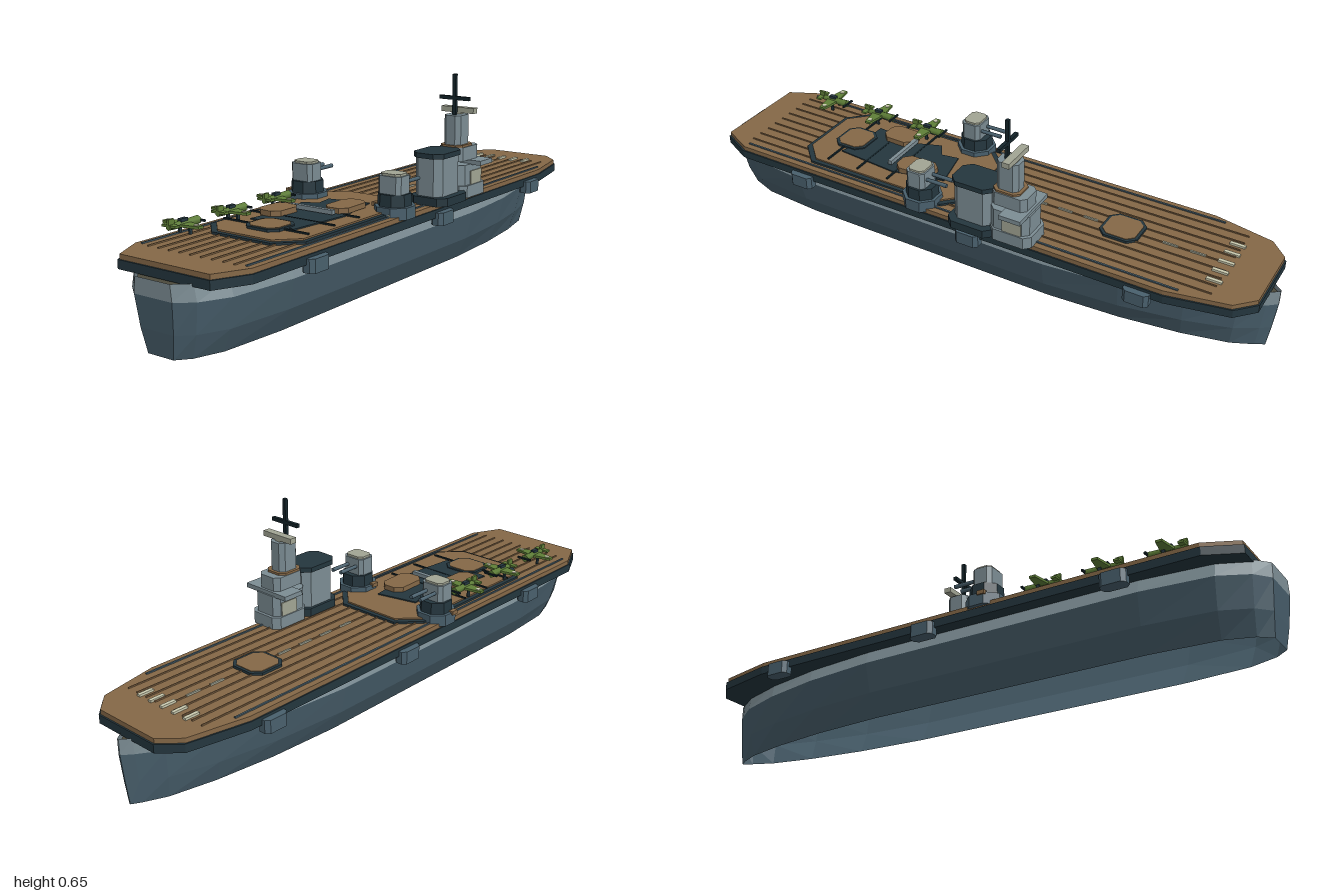
import * as THREE from 'three';

const CX = -0.017; // centreline of the ship
const colour = (name, hex, extra = {}) => Object.assign(new THREE.MeshStandardMaterial({ color: hex, ...extra }), { name });

export function createModel() {
  const ship = new THREE.Group();
  ship.name = 'carrier';
  const M = {
    hull: colour('slate hull', 0x49606d, { side: THREE.DoubleSide }),
    grey: colour('light grey', 0x7c8d94, { side: THREE.DoubleSide }),
    dark: colour('dark teal', 0x24363e),
    black: colour('mast black', 0x14242a),
    wood: colour('deck brown', 0x856847),
    cream: colour('pale stone', 0xa2a594),
    green: colour('aircraft green', 0x5f7f38),
    pale: colour('marking cream', 0xcbcbb0),
    olive: colour('hold olive', 0x4c4a3c),
  };

  const add = (name, geo, mat, parent = ship) => {
    const m = new THREE.Mesh(geo, mat);
    m.name = name;
    parent.add(m);
    return m;
  };
  // box given by its limits
  const box = (name, mat, x0, x1, y0, y1, z0, z1, parent = ship) => {
    const m = add(name, new THREE.BoxGeometry(x1 - x0, y1 - y0, z1 - z0), mat, parent);
    m.position.set((x0 + x1) / 2, (y0 + y1) / 2, (z0 + z1) / 2);
  };
  // horizontal plate from a plan outline of [x, z], with an optional hole
  const slab = (name, mat, pts, y0, y1, hole, parent = ship) => {
    const v = (p) => p.map(([x, z]) => new THREE.Vector2(x, -z));
    const shape = new THREE.Shape(v(pts));
    if (hole) shape.holes.push(new THREE.Path(v(hole)));
    const g = new THREE.ExtrudeGeometry(shape, { depth: y1 - y0, bevelEnabled: false });
    g.rotateX(-Math.PI / 2);
    g.translate(0, y0, 0);
    return add(name, g, mat, parent);
  };
  // rectangle with cut corners
  const oct = (x0, x1, z0, z1, c) => [
    [x0 + c, z0], [x1 - c, z0], [x1, z0 + c], [x1, z1 - c],
    [x1 - c, z1], [x0 + c, z1], [x0, z1 - c], [x0, z0 + c]];

  // ---- hull: rings of stations lofted between levels, open at the bottom
  const stations = [[1, 0.07], [0.96, 0.12], [0.87, 0.165], [0.65, 0.188], [-0.3, 0.188],
    [-0.55, 0.165], [-0.75, 0.125], [-0.9, 0.075], [-0.97, 0.028], [-1, 0.003]];
  const ring = (y, w, l) => {
    const half = stations.map(([z, s]) => [s * w, y, z * l]);
    const other = half.map(([x, , z]) => [-x, y, z]).reverse();
    return [...half, ...other].map(([x, yy, z]) => [x + CX, yy, z]);
  };
  const loft = (rings) => {
    const p = [];
    for (let i = 0; i + 1 < rings.length; i++) {
      const a = rings[i], b = rings[i + 1], n = a.length;
      for (let j = 0; j < n; j++) {
        const k = (j + 1) % n;
        p.push(...a[j], ...a[k], ...b[k], ...a[j], ...b[k], ...b[j]);
      }
    }
    const g = new THREE.BufferGeometry();
    g.setAttribute('position', new THREE.Float32BufferAttribute(p, 3));
    g.computeVertexNormals();
    return g;
  };
  const chine = ring(0.167, 1, 1);
  add('hull', loft([ring(0, 0.67, 0.98), ring(0.073, 0.875, 0.99), chine]), M.hull);
  add('hullUpperBand', loft([chine, ring(0.216, 0.92, 1)]), M.grey);
  slab('hangarCeiling', M.olive, ring(0, 0.9, 0.99).map(([x, , z]) => [x, z]), 0.2, 0.206);

  // ---- flight deck
  const right = [[0.12, -0.973], [0.181, -0.915], [0.222, -0.715], [0.222, 0.857], [0.17, 0.963]];
  const outline = (inset) => [...right, ...right.map(([x, z]) => [-x, z]).reverse()]
    .map(([x, z]) => [x * (1 - inset * 4) + CX, z * (1 - inset)]);
  slab('deckRim', M.dark, outline(0), 0.208, 0.235);
  slab('flightDeck', M.wood, outline(0.005), 0.235, 0.25);
  for (let i = -4; i <= 4; i++) {
    const x = CX + i * 0.04;
    box('plankRib', M.wood, x - 0.002, x + 0.002, 0.25, 0.254, -0.84, 0.86);
  }
  for (const s of [-1, 1]) {
    const x = CX + s * 0.194;
    box('deckGutter', M.hull, x - 0.003, x + 0.003, 0.25, 0.254, -0.75, 0.85);
    // sponsons below the deck edge
    for (const z of [-0.635, -0.055, 0.597]) {
      const o = oct(0, 0.046, z - 0.042, z + 0.042, 0.012).map(([a, b]) => [CX + s * (0.198 + a), b]);
      slab('sponson', M.hull, s > 0 ? o : o.reverse(), 0.184, 0.226);
    }
  }
  // painted markings
  for (let i = -2; i <= 2; i++) {
    const x = CX + i * 0.05;
    box('bowMark', M.pale, x - 0.006, x + 0.006, 0.25, 0.257, -0.85, -0.8);
  }
  for (let z = -0.76; z < -0.12; z += 0.09) {
    if (z > -0.6 && z < -0.41) continue;
    box('centreDash', M.cream, CX - 0.003, CX + 0.003, 0.25, 0.2555, z, z + 0.05);
  }
  // lifts
  const lift = (z0, z1, y) => {
    slab('liftFrame', M.dark, oct(-0.081, 0.046, z0, z1, 0.025), y, y + 0.008);
    slab('liftTop', M.wood, oct(-0.072, 0.037, z0 + 0.009, z1 - 0.009, 0.021), y, y + 0.01);
  };
  lift(-0.55, -0.422, 0.25);
  lift(0.47, 0.588, 0.262);

  // ---- raised aft platform with torn opening
  slab('platformFrame', M.dark, oct(-0.197, 0.164, 0.005, 0.66, 0.07), 0.25, 0.257,
    oct(-0.182, 0.149, 0.02, 0.645, 0.064));
  slab('platform', M.wood, oct(-0.182, 0.149, 0.02, 0.645, 0.064), 0.25, 0.262);
  slab('openDeck', M.dark, [[-0.09, 0.16], [0.05, 0.13], [0.06, 0.2], [0.09, 0.31], [0.07, 0.53],
    [-0.01, 0.5], [-0.12, 0.5], [-0.1, 0.33], [-0.13, 0.25], [-0.08, 0.22]], 0.262, 0.266);
  slab('bentPlate', M.wood, oct(-0.01, 0.075, 0.175, 0.31, 0.022), 0.266, 0.283).rotation.y = 0.03;
  slab('bentPlate', M.wood, oct(-0.132, -0.046, 0.34, 0.455, 0.022), 0.266, 0.283).rotation.y = -0.03;
  box('girder', M.grey, -0.1, 0.065, 0.27, 0.284, 0.328, 0.342);
  for (const z of [0.3, 0.42, 0.54]) box('arrestorWire', M.black, -0.19, 0.135, 0.262, 0.267, z - 0.003, z + 0.003);

  // ---- gun turrets
  const drum = (name, mat, r0, r1, y0, y1, parent) => {
    const g = new THREE.CylinderGeometry(r1, r0, y1 - y0, 8).toNonIndexed();
    g.rotateY(Math.PI / 8);
    g.computeVertexNormals();
    add(name, g, mat, parent).position.y = (y0 + y1) / 2;
  };
  for (const x of [-0.188, 0.156]) {
    const t = new THREE.Group();
    t.name = 'gunTurret';
    t.position.set(x, 0, 0.145);
    ship.add(t);
    drum('barbette', M.hull, 0.066, 0.066, 0.24, 0.278, t);
    drum('turretRing', M.dark, 0.055, 0.053, 0.278, 0.316, t);
    slab('turretHouse', M.grey, oct(-0.042, 0.042, -0.03, 0.038, 0.012), 0.3, 0.372, null, t);
    slab('turretRoof', M.cream, oct(-0.036, 0.036, -0.025, 0.033, 0.012), 0.37, 0.379, null, t);
    box('ammoLocker', M.wood, -0.066, -0.05, 0.27, 0.283, 0.005, 0.03, t);
    const mx = Math.sign(x) * 0.021;
    box('barbetteMark', M.pale, mx - 0.004, mx + 0.004, 0.252, 0.258, 0.058, 0.063, t);
    for (const s of [-0.018, 0.018]) {
      const b = add('barrel', new THREE.CylinderGeometry(0.006, 0.007, 0.08, 8), M.hull, t);
      b.rotation.x = Math.PI / 2;
      b.position.set(s, 0.345, -0.065);
    }
  }

  // ---- island
  slab('islandBase', M.dark, oct(0.11, 0.246, -0.155, 0.008, 0.025), 0.25, 0.277);
  slab('islandHouse', M.grey, oct(0.12, 0.222, -0.14, -0.005, 0.022), 0.277, 0.402);
  slab('islandRoof', M.dark, oct(0.114, 0.228, -0.146, 0.002, 0.025), 0.4, 0.416);
  slab('aftBase', M.grey, oct(0.11, 0.232, -0.285, -0.14, 0.02), 0.25, 0.29);
  slab('aftHouse', M.grey, oct(0.118, 0.224, -0.275, -0.14, 0.018), 0.29, 0.358);
  box('aftPanel', M.cream, 0.114, 0.228, 0.285, 0.335, -0.255, -0.19);
  box('bridgeWing', M.grey, 0.083, 0.26, 0.355, 0.37, -0.27, -0.195);
  slab('upperHouse', M.grey, oct(0.128, 0.216, -0.262, -0.14, 0.016), 0.37, 0.415);
  slab('upperRoof', M.wood, oct(0.13, 0.212, -0.235, -0.142, 0.016), 0.415, 0.422);
  slab('tower', M.grey, oct(0.14, 0.202, -0.225, -0.15, 0.014), 0.42, 0.518);
  box('rangefinder', M.cream, 0.11, 0.232, 0.523, 0.541, -0.215, -0.19);
  box('rangefinderPost', M.cream, 0.16, 0.182, 0.515, 0.525, -0.213, -0.192);
  box('mast', M.black, 0.165, 0.177, 0.515, 0.651, -0.181, -0.169);
  box('yardarm', M.black, 0.115, 0.227, 0.567, 0.579, -0.181, -0.169);

  // ---- parked aircraft, nose toward the bow
  for (const z of [0.33, 0.535, 0.735]) {
    const a = new THREE.Group();
    a.name = 'aircraft';
    a.position.set(-0.164, 0.291, z);
    ship.add(a);
    const body = add('fuselage', new THREE.CylinderGeometry(0.009, 0.014, 0.118, 6), M.green, a);
    body.rotation.x = Math.PI / 2;
    slab('wing', M.green, [[-0.071, -0.008], [-0.071, 0.012], [0, 0.024], [0.071, 0.012], [0.071, -0.008], [0, -0.02]],
      -0.005, 0.003, null, a);
    box('tailplane', M.green, -0.027, 0.027, 0, 0.007, 0.04, 0.058, a);
    box('tailFin', M.green, -0.004, 0.004, 0, 0.023, 0.038, 0.06, a);
    box('canopy', M.dark, -0.007, 0.007, 0.006, 0.017, -0.012, 0.014, a);
    box('propeller', M.black, -0.027, 0.027, -0.003, 0.003, -0.064, -0.057, a);
    for (const s of [-1, 1]) {
      const d = add('wingRoundel', new THREE.CylinderGeometry(0.008, 0.008, 0.004, 8), M.pale, a);
      d.position.set(s * 0.054, 0.003, 0.002);
      box('wheelLeg', M.dark, s * 0.02 - 0.003, s * 0.02 + 0.003, -0.03, 0, -0.012, -0.002, a);
    }
  }
  return ship;
}
